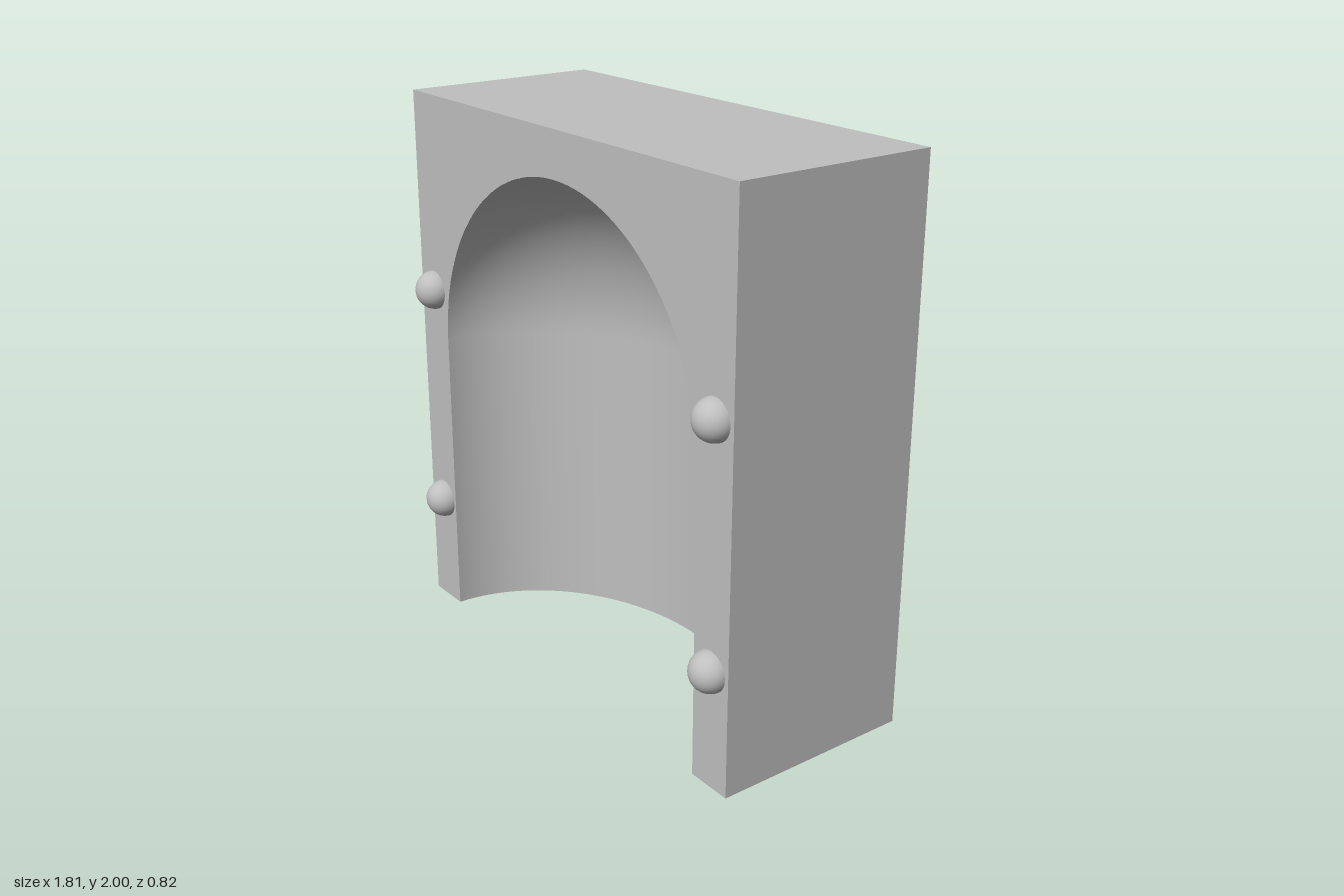
import * as THREE from 'three';
import { mergeGeometries } from 'three/addons/utils/BufferGeometryUtils.js';

const W = 0.905, H = 2, FRONT = 0.34, BACK = -0.41; // block
const A = 0.735, SPRING = 1.1, DEPTH = 0.585; // niche half width, arch spring, depth
const SEG = 48;

// Turn a surface inside out so that it is seen from its hollow side
function insideOut(geo) {
  const index = geo.index.array;
  for (let i = 0; i < index.length; i += 3) {
    [index[i], index[i + 1]] = [index[i + 1], index[i]];
  }
  const normals = geo.attributes.normal.array;
  for (let i = 0; i < normals.length; i++) normals[i] *= -1;
  return geo;
}

function blockGeometry() {
  const depth = FRONT - BACK, midZ = (FRONT + BACK) / 2;

  // Front face with the arched opening
  const front = new THREE.Shape();
  front.moveTo(-W, 0);
  front.lineTo(-A, 0);
  front.lineTo(-A, SPRING);
  front.absarc(0, SPRING, A, Math.PI, 0, true);
  front.lineTo(A, 0);
  front.lineTo(W, 0);
  front.lineTo(W, H);
  front.lineTo(-W, H);

  // Underside with the half-oval cut
  const under = new THREE.Shape();
  under.moveTo(-W, BACK);
  under.lineTo(W, BACK);
  under.lineTo(W, FRONT);
  under.lineTo(A, FRONT);
  under.absellipse(0, FRONT, A, DEPTH, 0, -Math.PI, true);
  under.lineTo(-W, FRONT);

  return mergeGeometries([
    new THREE.ShapeGeometry(front, SEG).translate(0, 0, FRONT),
    new THREE.ShapeGeometry(under, SEG / 2).rotateX(Math.PI / 2),
    new THREE.PlaneGeometry(2 * W, H).rotateY(Math.PI).translate(0, H / 2, BACK),
    new THREE.PlaneGeometry(2 * W, depth).rotateX(-Math.PI / 2).translate(0, H, midZ),
    new THREE.PlaneGeometry(depth, H).rotateY(Math.PI / 2).translate(W, H / 2, midZ),
    new THREE.PlaneGeometry(depth, H).rotateY(-Math.PI / 2).translate(-W, H / 2, midZ),
  ]);
}

export function createModel() {
  const model = new THREE.Group();
  model.name = 'archedNiche';
  const grey = new THREE.MeshStandardMaterial({ color: 0xbfbfbf });
  grey.name = 'grey';

  const add = (name, geo, x = 0, y = 0, z = 0) => {
    const mesh = new THREE.Mesh(geo, grey);
    mesh.name = name;
    mesh.position.set(x, y, z);
    model.add(mesh);
  };

  add('block', blockGeometry());

  // Hollow: half-oval wall below, quarter dome above
  const wall = new THREE.CylinderGeometry(1, 1, SPRING, SEG, 1, true, Math.PI / 2, Math.PI);
  add('nicheWall', insideOut(wall.scale(A, 1, DEPTH)), 0, SPRING / 2, FRONT);
  const dome = new THREE.SphereGeometry(1, SEG, SEG / 2, Math.PI, Math.PI, 0, Math.PI / 2);
  add('nicheDome', insideOut(dome.scale(A, A, DEPTH)), 0, SPRING, FRONT);

  // Four round studs, half sunk into the front
  const stud = new THREE.SphereGeometry(0.072, 32, 20);
  for (const [side, x] of [['left', 0.817], ['right', -0.817]]) {
    add(side + 'UpperStud', stud, x, 1.273, FRONT);
    add(side + 'LowerStud', stud, x, 0.425, FRONT);
  }
  return model;
}
